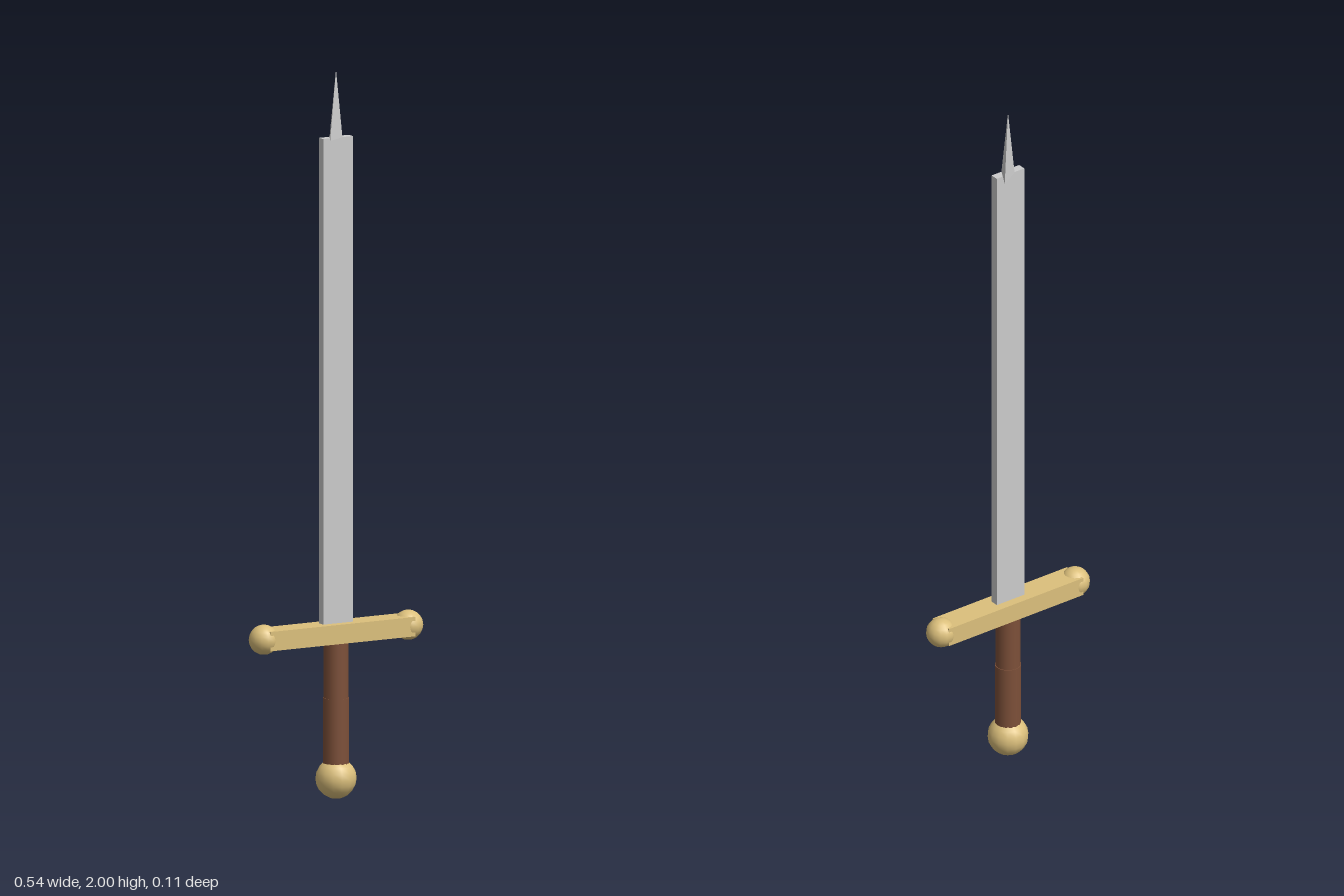
import * as THREE from 'three';

export function createModel() {
  const model = new THREE.Group();
  model.name = 'sword';

  const steel = new THREE.MeshStandardMaterial({ color: 0xcccccc, flatShading: true });
  const gold = new THREE.MeshStandardMaterial({ color: 0xdcc07c });
  const leather = new THREE.MeshStandardMaterial({ color: 0x7d5039 });

  function add(name, geometry, material, x, y) {
    const mesh = new THREE.Mesh(geometry, material);
    mesh.name = name;
    mesh.position.set(x, y, 0);
    model.add(mesh);
    return mesh;
  }

  // Flat blade, rooted in the guard
  const bladeBottom = 0.457, bladeTop = 1.815;
  add('blade', new THREE.BoxGeometry(0.093, bladeTop - bladeBottom, 0.023), steel,
    0, (bladeTop + bladeBottom) / 2);

  // Four-sided point: a flattened pyramid set diagonally across the blade
  const tip = new THREE.ConeGeometry(0.064, 2 - bladeTop, 4);
  tip.scale(1, 1, 0.28);
  tip.rotateY(Math.PI / 4);
  add('bladeTip', tip, steel, 0, (2 + bladeTop) / 2);

  // Crossguard with a ball on each end
  const guardY = 0.457;
  add('guard', new THREE.BoxGeometry(0.455, 0.053, 0.073), gold, 0, guardY);
  for (const [name, side] of [['leftGuardBall', 1], ['rightGuardBall', -1]]) {
    add(name, new THREE.SphereGeometry(0.041, 14, 10), gold, side * 0.227, guardY);
  }

  // Grip with a slightly thicker wrap over its lower half
  add('grip', new THREE.CylinderGeometry(0.034, 0.034, 0.34, 16), leather, 0, 0.265);
  add('gripWrap', new THREE.CylinderGeometry(0.036, 0.036, 0.18, 16), leather, 0, 0.188);

  // Round pommel
  add('pommel', new THREE.SphereGeometry(0.056, 14, 10), gold, 0, 0.057);

  return model;
}
